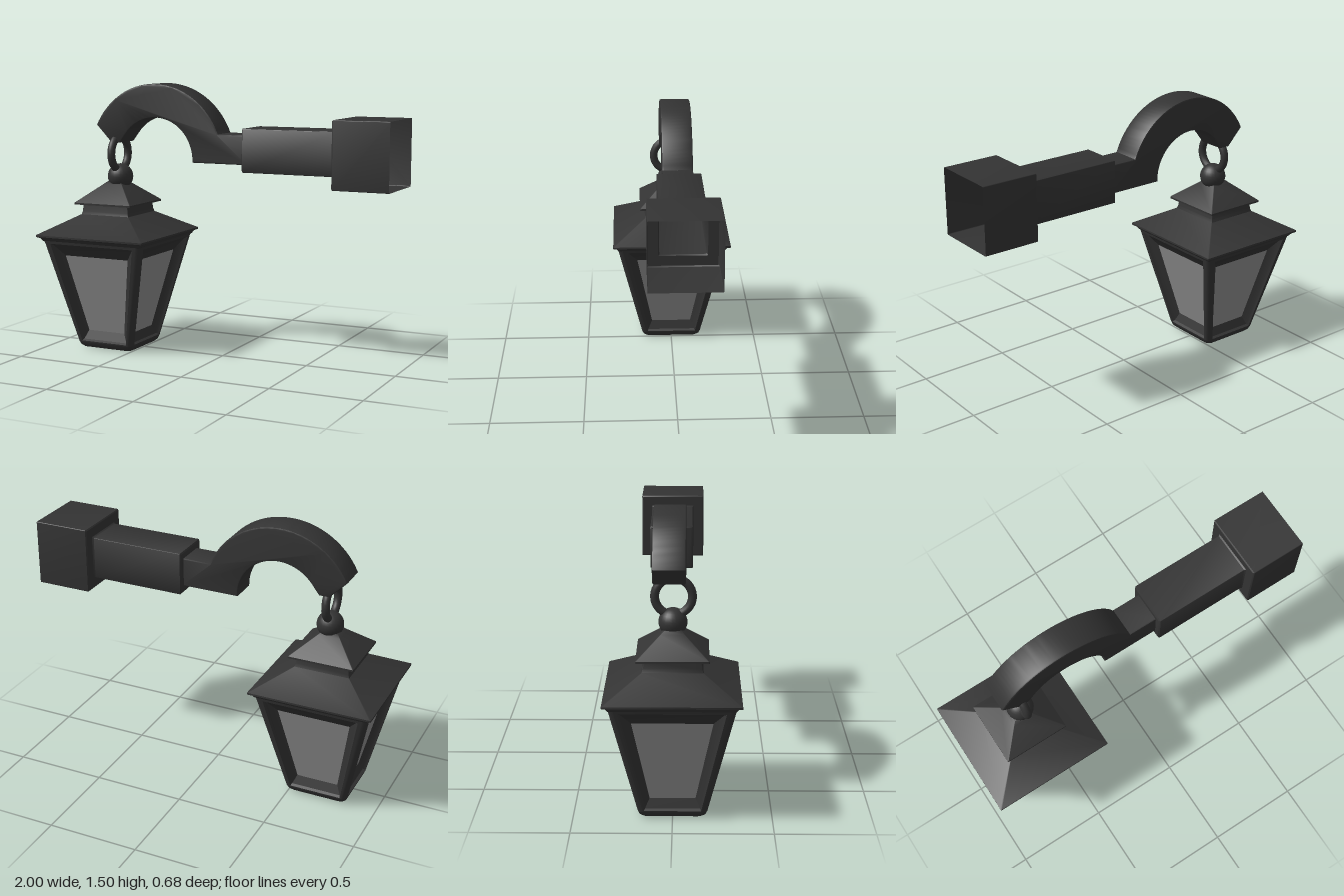
import * as THREE from 'three';
import { toCreasedNormals } from 'three/addons/utils/BufferGeometryUtils.js';

const LANTERN_X = -0.66, ARM_Z = -0.018, ARM_Y = 1.155;
const metal = new THREE.MeshStandardMaterial({ color: 0x333333 });
const shellMetal = new THREE.MeshStandardMaterial({ color: 0x333333, side: THREE.DoubleSide });
const glass = new THREE.MeshStandardMaterial({ color: 0x8c8c8c, side: THREE.DoubleSide });

function mesh(name, geometry, material = metal) {
  const m = new THREE.Mesh(geometry, material);
  m.name = name;
  return m;
}

// Geometry from a list of four-cornered faces, corners counter-clockwise
function fromQuads(quads, crease = 0.6) {
  const pos = [];
  for (const [a, b, c, d] of quads) pos.push(...a, ...b, ...c, ...a, ...c, ...d);
  const g = new THREE.BufferGeometry();
  g.setAttribute('position', new THREE.Float32BufferAttribute(pos, 3));
  g.computeVertexNormals();
  return toCreasedNormals(g, crease);
}

// Rounded-square ring of half width h and corner radius r at height y
function ring(y, h, r) {
  const pts = [], n = 4;
  for (let k = 0; k < 4; k++) {
    const cx = (k === 0 || k === 3 ? 1 : -1) * (h - r), cz = (k < 2 ? 1 : -1) * (h - r);
    for (let i = 0; i <= n; i++) {
      const t = (k + i / n) * Math.PI / 2;
      pts.push([cx + r * Math.cos(t), y, cz + r * Math.sin(t)]);
    }
  }
  return pts;
}

// Skin through square rings given from bottom to top as [y, halfWidth, radius]
function loft(levels) {
  const rings = levels.map(([y, h, r = Math.min(h, 0.004)]) => ring(y, h, r));
  const quads = [];
  for (let j = 0; j + 1 < rings.length; j++) {
    const a = rings[j], b = rings[j + 1];
    a.forEach((p, i) => {
      const k = (i + 1) % a.length;
      quads.push([p, b[i], b[k], a[k]]);
    });
  }
  return fromQuads(quads);
}

// Half width of the tapering lantern body at height y
const bodyHalf = y => THREE.MathUtils.mapLinear(y, 0.04, 0.62, 0.177, 0.31);
const POST = 0.028;

// Rectangle on the sloping side wall, sunk by depth
function panelRect(y0, y1, w0, w1, depth) {
  const z0 = bodyHalf(y0) - depth, z1 = bodyHalf(y1) - depth;
  return [[-w0, y0, z0], [w0, y0, z0], [w1, y1, z1], [-w1, y1, z1]];
}

function frameSide() {
  const y0 = 0.035, y1 = 0.625, h0 = bodyHalf(y0), h1 = bodyHalf(y1);
  const steps = [
    panelRect(y0, y1, h0 - POST, h1 - POST, 0),
    panelRect(0.042, 0.61, 0.143, 0.262, 0),
    panelRect(0.05, 0.6, 0.138, 0.25, 0.016),
    panelRect(0.1, 0.54, 0.115, 0.2, 0.045),
  ];
  const quads = [];
  for (let s = 0; s < 3; s++) {
    for (let k = 0; k < 4; k++) {
      const n = (k + 1) % 4;
      quads.push([steps[s][k], steps[s][n], steps[s + 1][n], steps[s + 1][k]]);
    }
  }
  // Rounded corner post
  const corner = (y, h, t) => [h - POST + POST * Math.sin(t), y, h - POST + POST * Math.cos(t)];
  for (let i = 0; i < 4; i++) {
    const t = i * Math.PI / 8, u = t + Math.PI / 8;
    quads.push([corner(y0, h0, t), corner(y0, h0, u), corner(y1, h1, u), corner(y1, h1, t)]);
  }
  const side = new THREE.Group();
  side.name = 'lanternSide';
  side.add(mesh('windowFrame', fromQuads(quads)), mesh('windowPane', fromQuads([steps[3]]), glass));
  return side;
}

function makeLantern() {
  const g = new THREE.Group();
  g.name = 'lantern';
  g.position.x = LANTERN_X;
  for (let i = 0; i < 4; i++) {
    const side = frameSide();
    side.rotation.y = i * Math.PI / 2;
    g.add(side);
  }
  g.add(mesh('lanternBase', loft([
    [0, 0], [0, 0.14, POST], [0.004, 0.155, POST], [0.016, 0.168, POST], [0.035, bodyHalf(0.035), POST],
  ])));
  // Wide lower roof, neck and small upper roof
  g.add(mesh('lanternRoof', loft([
    [0.61, 0.29], [0.625, 0.311], [0.64, 0.32], [0.648, 0.338], [0.658, 0.338],
    [0.765, 0.152], [0.782, 0.147], [0.82, 0.143], [0.822, 0.18], [0.832, 0.18],
    [0.93, 0.062], [0.945, 0.045], [0.945, 0],
  ])));
  return g;
}

// Curved arm with a pointed tip and a short straight tail
function makeHook() {
  const s = new THREE.Shape();
  s.moveTo(0.17, 1.075);
  s.lineTo(0.17, 1.235);
  s.lineTo(0.002, 1.235);
  s.absarc(-0.385, 1.085, 0.415, 0.37, 2.69, false);
  s.lineTo(-0.665, 1.17);
  s.lineTo(-0.61, 1.17);
  s.absarc(-0.385, 1.085, 0.23, 2.48, 0, true);
  s.lineTo(-0.155, 1.075);
  s.closePath();
  const b = 0.008, depth = 0.165 - 2 * b;
  const geo = new THREE.ExtrudeGeometry(s, {
    depth, curveSegments: 20, bevelEnabled: true, bevelSize: b, bevelThickness: b, bevelOffset: -b, bevelSegments: 2,
  });
  geo.translate(0, 0, ARM_Z - depth / 2);
  return mesh('curvedArm', toCreasedNormals(geo, 0.5));
}

export function createModel() {
  const model = new THREE.Group();
  model.name = 'wallLantern';

  // Stepped square sleeve, open at the wall end
  const sleeve = loft([
    [0.157, 0.078], [0.157, 0.11], [0.163, 0.117], [0.682, 0.117],
    [0.69, 0.122], [0.69, 0.174], [0.696, 0.18], [1, 0.18],
  ]).rotateZ(-Math.PI / 2).translate(0, ARM_Y, ARM_Z);
  model.add(mesh('wallSleeve', sleeve, shellMetal), makeHook());

  // Hanging ring and ball
  const ringMesh = mesh('hangingRing', new THREE.TorusGeometry(0.093, 0.022, 12, 32));
  ringMesh.rotation.y = Math.PI / 2;
  ringMesh.position.set(-0.645, 1.105, 0.003);
  const ball = mesh('ball', new THREE.SphereGeometry(0.072, 24, 16));
  ball.position.set(-0.643, 0.975, 0);
  model.add(ringMesh, ball, makeLantern());
  return model;
}
